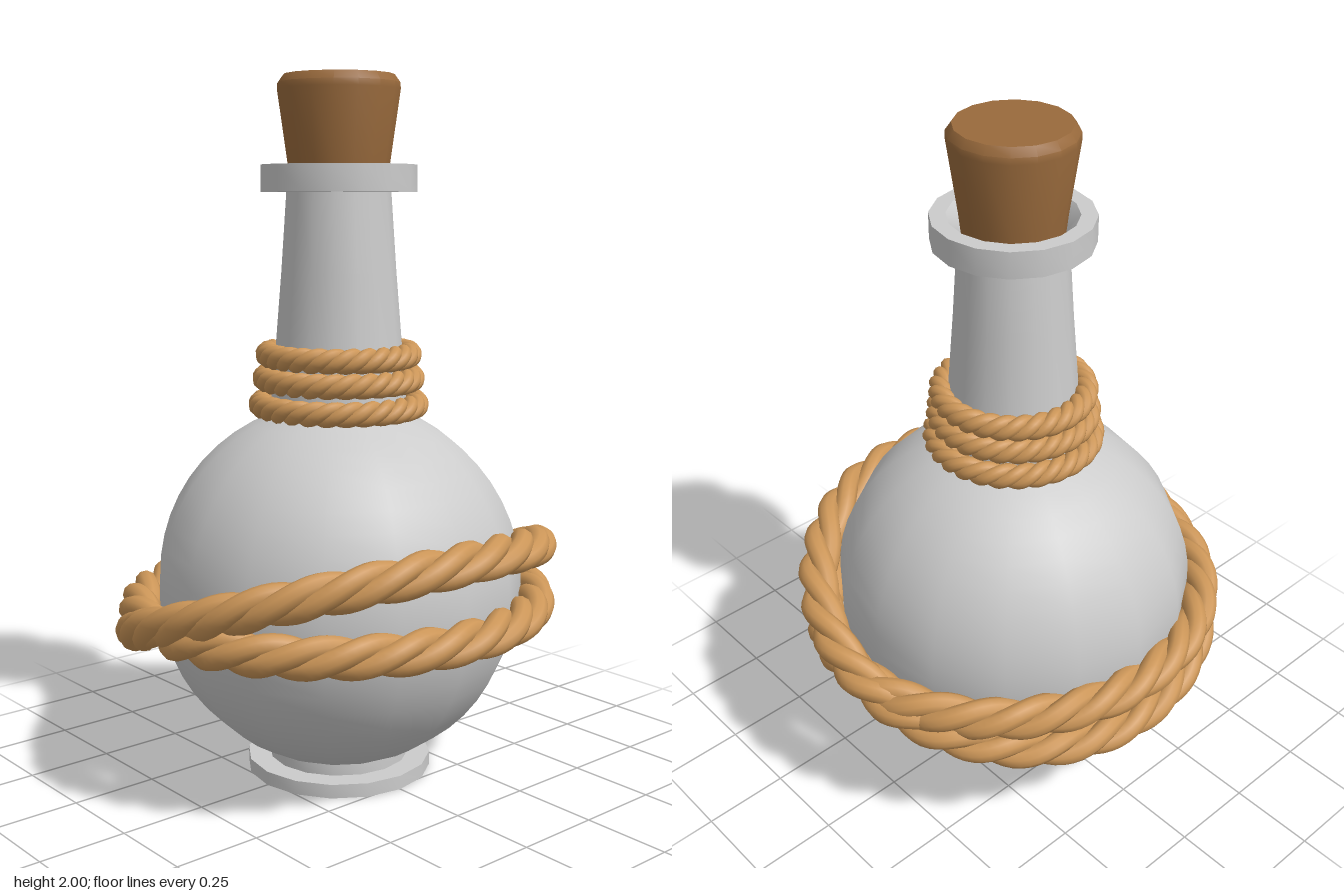
import * as THREE from 'three';
import { toCreasedNormals } from 'three/addons/utils/BufferGeometryUtils.js';

const GLASS = new THREE.MeshStandardMaterial({ color: 0xcccccc, side: THREE.DoubleSide });
const CORK = new THREE.MeshStandardMaterial({ color: 0x996a3c });
const ROPE = new THREE.MeshStandardMaterial({ color: 0xcc9658 });

// Turned part from [radius, height] pairs, running up the outside
function turned(name, profile, material) {
  const points = profile.map(([r, y]) => new THREE.Vector2(r, y));
  const geometry = toCreasedNormals(new THREE.LatheGeometry(points, 16), 0.6);
  const mesh = new THREE.Mesh(geometry, material);
  mesh.name = name;
  return mesh;
}

// One strand winding around an elliptical loop that rises towards the front
class StrandCurve extends THREE.Curve {
  constructor(loop, phase) {
    super();
    Object.assign(this, loop, { phase });
  }
  getPoint(t, target = new THREE.Vector3()) {
    const a = t * Math.PI * 2;
    const twist = a * this.turns + this.phase;
    const out = Math.cos(twist) * this.offset;
    return target.set(
      (this.rx + out) * Math.sin(a),
      this.y + this.rise * Math.cos(a) + Math.sin(twist) * this.offset,
      (this.rz + out) * Math.cos(a)
    );
  }
}

// Rope loop of three twisted strands
function rope(name, { y, rx, rz = rx, rise = 0, thickness, turns = 9 }) {
  const group = new THREE.Group();
  group.name = name;
  const loop = { y, rx, rz, rise, turns, offset: thickness * 0.47 };
  for (let i = 0; i < 3; i++) {
    const curve = new StrandCurve(loop, (i * Math.PI * 2) / 3);
    const strand = new THREE.Mesh(new THREE.TubeGeometry(curve, 180, thickness * 0.53, 10, true), ROPE);
    strand.name = 'strand';
    group.add(strand);
  }
  return group;
}

export function createModel() {
  const model = new THREE.Group();
  model.name = 'corkedBottle';

  // Foot and round body
  model.add(turned('foot', [[0, 0], [0.27, 0], [0.27, 0.04], [0.205, 0.04], [0.205, 0.075]], GLASS));
  const body = [];
  for (let i = 0; i <= 20; i++) {
    const a = -1.2 + (i / 20) * 2.4;
    body.push([0.53 * Math.cos(a), 0.56 + 0.53 * Math.sin(a)]);
  }
  model.add(turned('body', body, GLASS));

  // Tapered neck and hollow lip
  model.add(turned('neck', [[0.2, 1.03], [0.182, 1.23], [0.163, 1.46], [0.147, 1.69]], GLASS));
  model.add(turned('lip', [
    [0.14, 1.68], [0.22, 1.68], [0.22, 1.755], [0.175, 1.755], [0.145, 1.72], [0.13, 1.66]
  ], GLASS));

  // Cork stopper with a bevelled top
  model.add(turned('cork', [
    [0, 1.62], [0.128, 1.62], [0.143, 1.755], [0.172, 1.96], [0.171, 1.978], [0.155, 2], [0, 2]
  ], CORK));

  // Neck binding
  [[1.082, 0.223], [1.157, 0.211], [1.225, 0.202]].forEach(([y, rx], i) => {
    model.add(rope(`neckRope${i + 1}`, { y, rx, thickness: 0.036 }));
  });

  // Body ropes: one level, one tilted
  model.add(rope('levelRope', { y: 0.51, rx: 0.59, rz: 0.55, thickness: 0.06 }));
  model.add(rope('tiltedRope', { y: 0.54, rx: 0.608, rz: 0.54, rise: 0.18, thickness: 0.06 }));
  return model;
}
